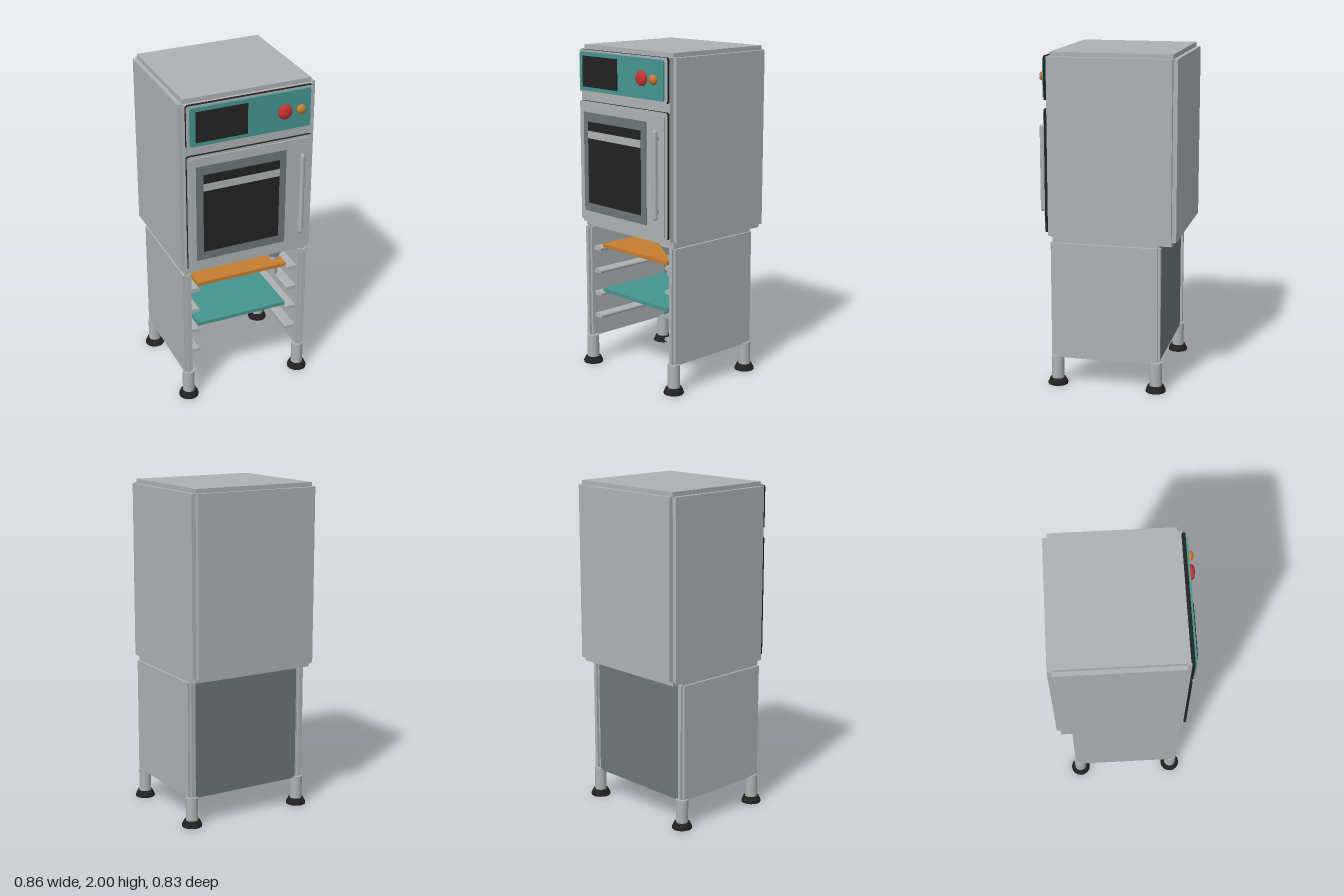
import * as THREE from 'three';

const mat = (name, color) => {
  const m = new THREE.MeshStandardMaterial({ color });
  m.name = name;
  return m;
};

export function createModel() {
  const steel = mat('steel', 0xaeb2b4);
  const slate = mat('slate', 0x6c7678);
  const black = mat('black', 0x222222);
  const teal = mat('teal', 0x459590);
  const orange = mat('orange', 0xc67c30);
  const red = mat('red', 0xc83434);

  const root = new THREE.Group();
  root.name = 'ovenOnStand';

  const add = (name, geo, material, x = 0, y = 0, z = 0, parent = root) => {
    const m = new THREE.Mesh(geo, material);
    m.name = name;
    m.position.set(x, y, z);
    parent.add(m);
    return m;
  };

  // box given by its lower and upper limits
  const box = (name, material, [x0, x1], [y0, y1], [z0, z1], parent = root) =>
    add(name, new THREE.BoxGeometry(x1 - x0, y1 - y0, z1 - z0), material,
      (x0 + x1) / 2, (y0 + y1) / 2, (z0 + z1) / 2, parent);

  // box whose edges are stepped in by s: three crossing slabs
  const steppedBox = (name, material, xs, ys, zs, s) => {
    const g = new THREE.Group();
    g.name = name;
    root.add(g);
    const inset = ([a, b]) => [a + s, b - s];
    box(name + 'Sides', material, xs, inset(ys), inset(zs), g);
    box(name + 'Caps', material, inset(xs), ys, inset(zs), g);
    box(name + 'Ends', material, inset(xs), inset(ys), zs, g);
  };

  // upright plate with rounded corners; material may be [front, rim]
  const plate = (name, material, [x0, x1], [y0, y1], [z0, z1], r = 0.015) => {
    const s = new THREE.Shape();
    s.moveTo(x0 + r, y0);
    s.lineTo(x1 - r, y0);
    s.quadraticCurveTo(x1, y0, x1, y0 + r);
    s.lineTo(x1, y1 - r);
    s.quadraticCurveTo(x1, y1, x1 - r, y1);
    s.lineTo(x0 + r, y1);
    s.quadraticCurveTo(x0, y1, x0, y1 - r);
    s.lineTo(x0, y0 + r);
    s.quadraticCurveTo(x0, y0, x0 + r, y0);
    const geo = new THREE.ExtrudeGeometry(s, { depth: z1 - z0, bevelEnabled: false, curveSegments: 4 });
    add(name, geo, material, 0, 0, z0);
  };

  // oven housing
  steppedBox('housing', steel, [-0.415, 0.415], [0.895, 2], [-0.415, 0.35], 0.026);

  // control panel
  plate('controlPanelBase', [steel, black], [-0.385, 0.385], [1.72, 1.975], [0.345, 0.367]);
  plate('controlPanel', teal, [-0.367, 0.363], [1.733, 1.963], [0.367, 0.379]);
  box('display', black, [-0.335, -0.025], [1.757, 1.94], [0.377, 0.385]);

  const knob = (name, material, x, r) => {
    const profile = [[0, 0], [r * 0.8, 0], [r, 0.009], [r, 0.017], [r * 0.75, 0.03], [r * 0.35, 0.032], [r * 0.3, 0.034], [0, 0.034]];
    const geo = new THREE.LatheGeometry(profile.map(p => new THREE.Vector2(...p)), 24);
    geo.rotateX(Math.PI / 2);
    add(name, geo, material, x, 1.85, 0.379);
  };
  knob('largeKnob', red, 0.198, 0.044);
  knob('smallKnob', orange, 0.298, 0.028);

  // door with window
  plate('doorBase', [steel, black], [-0.385, 0.385], [0.94, 1.67], [0.345, 0.367]);
  plate('door', steel, [-0.37, 0.367], [0.952, 1.657], [0.367, 0.375]);
  box('windowFrame', slate, [-0.335, 0.22], [1.003, 1.605], [0.37, 0.381]);
  box('windowGlass', black, [-0.293, 0.177], [1.055, 1.55], [0.376, 0.384]);
  box('windowBand', steel, [-0.293, 0.177], [1.45, 1.495], [0.378, 0.386]);

  // door handle
  add('handleBar', new THREE.CapsuleGeometry(0.015, 0.49, 6, 14), steel, 0.315, 1.31, 0.398);
  for (const y of [1.1, 1.52]) box('handlePost', steel, [0.306, 0.324], [y - 0.01, y + 0.01], [0.37, 0.398]);

  // stand: side panels, rails, legs and feet
  for (const s of [-1, 1]) {
    const span = (a, b) => (s > 0 ? [a, b] : [-b, -a]);
    steppedBox('sidePanel', steel, span(0.35, 0.403), [0.17, 0.897], [-0.325, 0.335], 0.015);
    for (const y of [0.312, 0.457, 0.602, 0.747]) {
      box('shelfRail', steel, span(0.3, 0.352), [y - 0.012, y + 0.012], [-0.28, 0.3]);
      const tip = add('railTip', new THREE.CylinderGeometry(0.012, 0.012, 0.58, 10), steel, s * 0.3, y, 0.01);
      tip.rotation.x = Math.PI / 2;
    }
    for (const z of [-0.298, 0.303]) {
      add('leg', new THREE.CylinderGeometry(0.037, 0.037, 0.15, 20), steel, s * 0.372, 0.105, z);
      add('foot', new THREE.CylinderGeometry(0.047, 0.06, 0.028, 16), black, s * 0.372, 0.024, z);
      add('footPad', new THREE.CylinderGeometry(0.06, 0.06, 0.01, 16), black, s * 0.372, 0.005, z);
    }
  }
  box('backPanel', slate, [-0.352, 0.352], [0.172, 0.9], [-0.312, -0.287]);

  // trays
  box('upperTray', orange, [-0.293, 0.287], [0.758, 0.78], [-0.28, 0.28]);
  box('lowerTray', teal, [-0.293, 0.287], [0.472, 0.494], [-0.28, 0.28]);

  // drain funnel and pipe
  add('drainFunnel', new THREE.CylinderGeometry(0.068, 0.032, 0.055, 20), steel, 0.24, 0.832, 0.2);
  add('funnelRim', new THREE.CylinderGeometry(0.068, 0.068, 0.008, 20), steel, 0.24, 0.862, 0.2);
  add('drainPipe', new THREE.CylinderGeometry(0.025, 0.025, 0.14, 16), steel, 0.24, 0.742, 0.2);

  return root;
}
